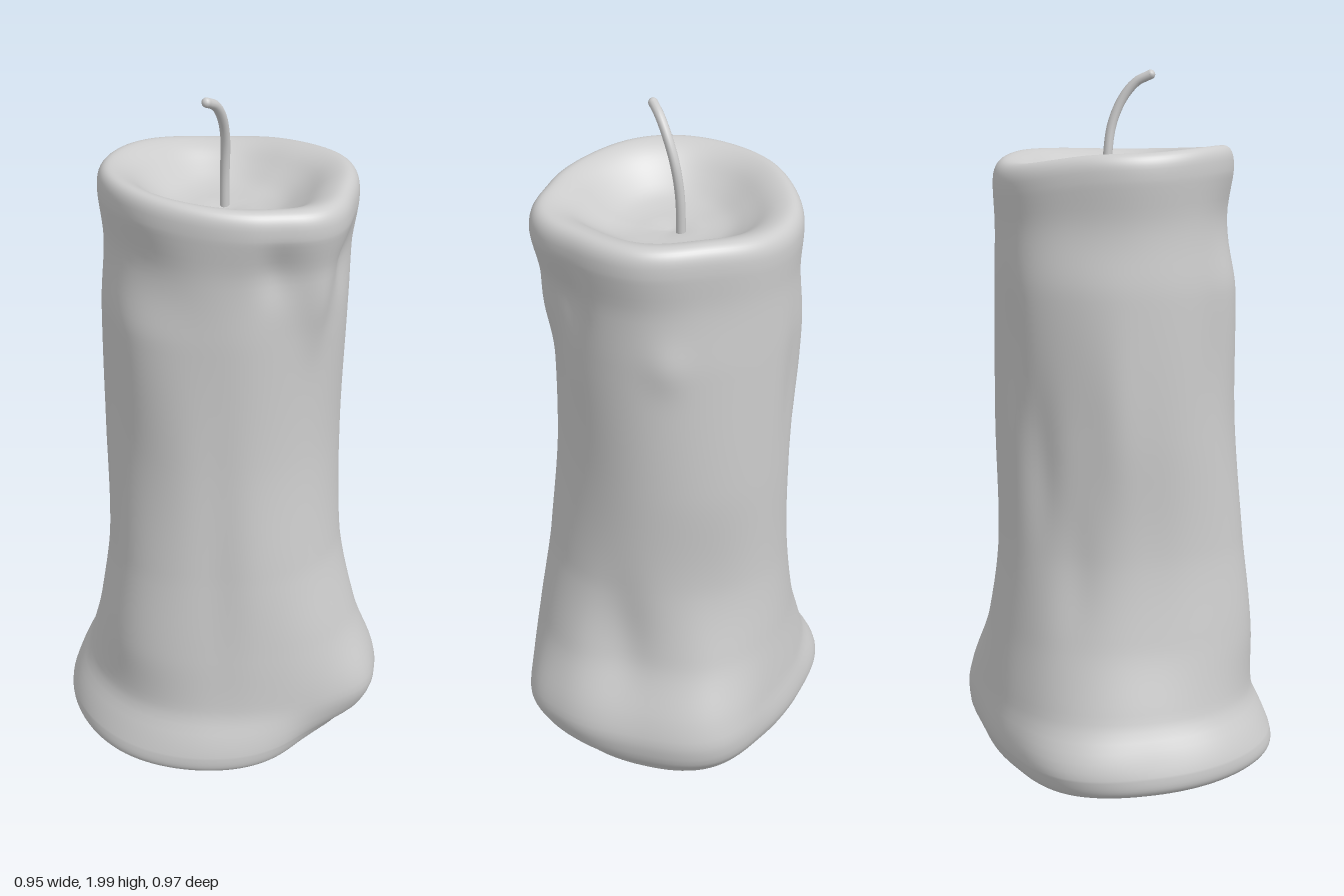
import * as THREE from 'three';
import { mergeVertices } from 'three/addons/utils/BufferGeometryUtils.js';

// Wax outline: radius every 30 degrees, from +x round through the front (+z)
const rings = [
  { y: 0.03, r: [0.43, 0.41, 0.41, 0.405, 0.43, 0.45, 0.48, 0.485, 0.48, 0.48, 0.415, 0.40] },
  { y: 0.10, r: [0.468, 0.445, 0.46, 0.435, 0.425, 0.435, 0.455, 0.47, 0.465, 0.482, 0.425, 0.415] },
  { y: 0.20, r: [0.467, 0.447, 0.48, 0.447, 0.40, 0.395, 0.41, 0.42, 0.42, 0.43, 0.405, 0.405] },
  { y: 0.40, r: [0.39, 0.37, 0.42, 0.42, 0.385, 0.38, 0.405, 0.385, 0.365, 0.375, 0.375, 0.38] },
  { y: 0.65, r: [0.34, 0.345, 0.36, 0.37, 0.365, 0.36, 0.375, 0.35, 0.335, 0.335, 0.355, 0.355] },
  { y: 1.00, r: [0.355, 0.35, 0.338, 0.335, 0.335, 0.34, 0.345, 0.345, 0.34, 0.335, 0.355, 0.357] },
  { y: 1.40, r: [0.35, 0.355, 0.348, 0.335, 0.33, 0.325, 0.345, 0.342, 0.34, 0.352, 0.365, 0.355] },
  { y: 1.58, r: [0.34, 0.357, 0.355, 0.358, 0.328, 0.318, 0.311, 0.325, 0.33, 0.333, 0.355, 0.352] },
  { y: 1.70, r: [0.347, 0.375, 0.37, 0.39, 0.35, 0.33, 0.333, 0.338, 0.343, 0.342, 0.36, 0.356] },
];

// Drips and hollows: angle in degrees, height, angular and vertical spread, depth
const drips = [
  // foot lobes and the notch between them
  [76, 0.18, 12, 0.14, 0.028],
  [42, 0.45, 13, 0.2, -0.025],
  [101, 0.09, 9, 0.1, -0.006],
  // strand below the spout
  [90, 1.48, 8, 0.12, 0.018],
  [68, 1.56, 10, 0.1, -0.02],
  [111, 1.6, 9, 0.08, -0.02],
  [18, 1.42, 9, 0.07, 0.01],
  // front hollow
  [140, 0.75, 12, 0.45, -0.014],
  // folds running diagonally down the back
  [200, 1.2, 12, 0.25, -0.01],
  [235, 0.75, 14, 0.3, -0.01],
  [252, 1.05, 10, 0.22, 0.01],
  [308, 1.25, 9, 0.2, -0.012],
  [291, 0.92, 9, 0.2, -0.016],
  [272, 0.6, 10, 0.18, -0.01],
];

const wrapped = (d) => ((d + 540) % 360) - 180;

// Smooth cubic through four neighbouring values
function cubic(p0, p1, p2, p3, t) {
  const m1 = (p2 - p0) / 2, m2 = (p3 - p1) / 2, d = p1 - p2;
  return ((2 * d + m1 + m2) * t - 3 * d - 2 * m1 - m2) * t * t + m1 * t + p1;
}

function ringRadius(r, deg) {
  const k = Math.floor(deg / 30);
  const at = (i) => r[(i + 12) % 12];
  return cubic(at(k - 1), at(k), at(k + 1), at(k + 2), deg / 30 - k);
}

function waxRadius(deg, y) {
  const last = rings.length - 1;
  const h = THREE.MathUtils.clamp(y, rings[0].y, rings[last].y);
  let k = 0;
  while (k < last - 1 && h > rings[k + 1].y) k++;
  const at = (i) => ringRadius(rings[THREE.MathUtils.clamp(i, 0, last)].r, deg);
  const t = (h - rings[k].y) / (rings[k + 1].y - rings[k].y);
  let r = cubic(at(k - 1), at(k), at(k + 1), at(k + 2), t);
  for (const [a, dy, wa, wy, depth] of drips) {
    r += depth * Math.exp(-((wrapped(deg - a) / wa) ** 2) - ((h - dy) / wy) ** 2);
  }
  return r;
}

const bump = (deg, a, w) => Math.exp(-((wrapped(deg - a) / w) ** 2));

// Uneven rim: high on the right, low at the spout and the back left
const rimOffset = (deg) => 0.03 * bump(deg, 190, 55) - 0.008 * bump(deg, 80, 30)
  - 0.03 * bump(deg, 315, 35) + 0.008 * bump(deg, 265, 25);

// The foot lifts off the ground at the notch and ripples elsewhere
const footOffset = (deg) => 0.016 * bump(deg, 95, 22)
  + 0.004 * (1 + Math.sin(THREE.MathUtils.degToRad(3 * deg + 200)));

function waxGeometry() {
  // Profile as fraction of radius and height: underside, wall, lip, melted bowl
  const underside = [[0, 0.03], [0.4, 0.025], [0.65, 0.016], [0.8, 0.007],
    [0.9, 0.007], [0.96, 0.018], [0.99, 0.04], [1, 0.075]];
  const lip = [[1, 1.69], [0.995, 1.732], [0.965, 1.758], [0.91, 1.77], [0.83, 1.766],
    [0.73, 1.748], [0.6, 1.712], [0.46, 1.68], [0.32, 1.666], [0.16, 1.66], [0, 1.65]];
  const smooth = (list, n) =>
    new THREE.SplineCurve(list.map(([x, y]) => new THREE.Vector2(x, y))).getPoints(n);
  const points = smooth(underside, 28);
  for (let y = 0.095; y < 1.68; y += 0.024) points.push(new THREE.Vector2(1, y));
  points.push(...smooth(lip, 36));
  points[0].x = points[points.length - 1].x = 0;

  let geo = new THREE.LatheGeometry(points, 120);
  const pos = geo.attributes.position;
  for (let i = 0; i < pos.count; i++) {
    const x = pos.getX(i), y = pos.getY(i), z = pos.getZ(i);
    const s = Math.hypot(x, z);
    const deg = (THREE.MathUtils.radToDeg(Math.atan2(z, x)) + 359.9999) % 360;
    const r = waxRadius(deg, y);
    const lift = rimOffset(deg) * THREE.MathUtils.smoothstep(y, 1.5, 1.74) * s * s
      + footOffset(deg) * (1 - THREE.MathUtils.smoothstep(y, 0.03, 0.25)) * s;
    pos.setXYZ(i, x * r, y + lift, z * r);
  }
  // Weld the seam so that shading is continuous
  geo.deleteAttribute('uv');
  geo.deleteAttribute('normal');
  geo = mergeVertices(geo, 1e-5);
  geo.computeVertexNormals();
  return geo;
}

export function createModel() {
  const group = new THREE.Group();
  group.name = 'candle';
  const material = new THREE.MeshStandardMaterial({ color: 0xcccccc });

  const wax = new THREE.Mesh(waxGeometry(), material);
  wax.name = 'waxBody';
  group.add(wax);

  // Curved wick with a rounded tip
  const radius = 0.0135;
  const path = new THREE.CatmullRomCurve3([
    [0.026, 1.63, -0.018], [0.024, 1.76, -0.015], [0.014, 1.85, -0.004],
    [-0.014, 1.922, 0.01], [-0.05, 1.966, 0.02], [-0.09, 1.986, 0.026],
  ].map((p) => new THREE.Vector3(...p)));
  const wick = new THREE.Mesh(new THREE.TubeGeometry(path, 32, radius, 12), material);
  wick.name = 'wick';
  const tip = new THREE.Mesh(new THREE.SphereGeometry(radius, 12, 8), material);
  tip.name = 'wickTip';
  tip.position.copy(path.getPoint(1));
  group.add(wick, tip);
  return group;
}
